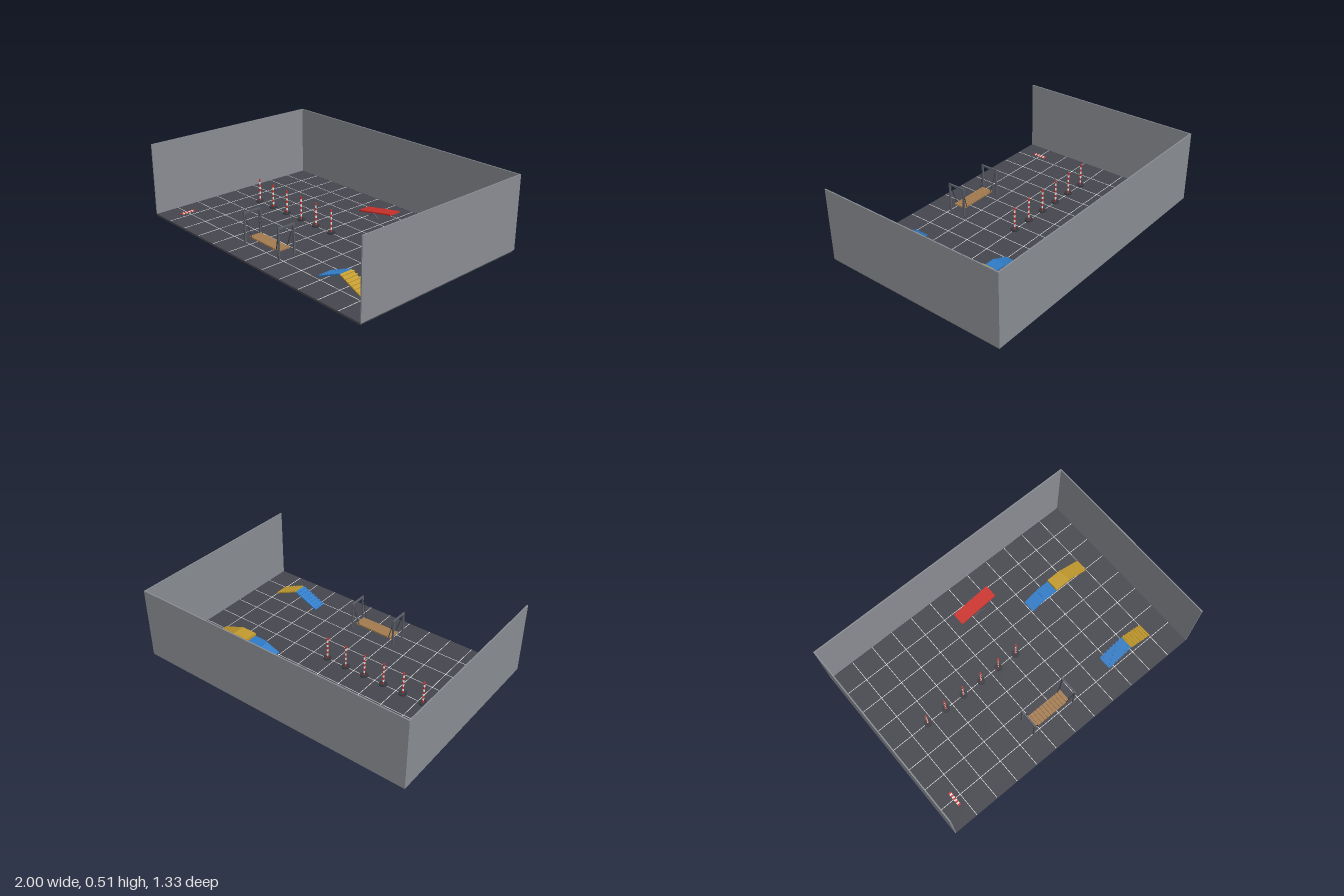
import * as THREE from 'three';

const mat = (name, color) => {
  const m = new THREE.MeshStandardMaterial({ color });
  m.name = name;
  return m;
};

export function createModel() {
  const M = {
    floor: mat('floor charcoal', 0x46474e),
    wall: mat('wall grey', 0x8a8d93),
    line: mat('white', 0xe8e8e8),
    red: mat('red', 0xcf322b),
    blue: mat('blue', 0x2f7cc8),
    yellow: mat('yellow', 0xc39b2e),
    wood: mat('wood brown', 0xa57c50),
    steel: mat('steel grey', 0x5a5e67),
    rubber: mat('dark rubber', 0x38393f),
  };
  const root = new THREE.Group();
  root.name = 'agilityCourse';
  const group = (name) => {
    const g = new THREE.Group();
    g.name = name;
    root.add(g);
    return g;
  };
  const add = (parent, name, geo, material, x, y, z) => {
    const m = new THREE.Mesh(geo, material);
    m.name = name;
    m.position.set(x, y, z);
    parent.add(m);
    return m;
  };
  const box = (parent, name, material, w, h, d, x, y, z) =>
    add(parent, name, new THREE.BoxGeometry(w, h, d), material, x, y, z);
  // Tilted board whose top centreline runs between two points in the xy plane
  const board = (parent, name, material, a, b, thick, width, z) => {
    const dx = b[0] - a[0], dy = b[1] - a[1];
    const m = box(parent, name, material, Math.hypot(dx, dy), thick, width, (a[0] + b[0]) / 2, (a[1] + b[1]) / 2, z);
    m.rotation.z = Math.atan2(dy, dx);
    return m;
  };
  // Round bar between two points
  const bar = (parent, name, material, a, b, r) => {
    const p = new THREE.Vector3(...a), q = new THREE.Vector3(...b);
    const d = q.clone().sub(p);
    const m = add(parent, name, new THREE.CylinderGeometry(r, r, d.length(), 8), material, 0, 0, 0);
    m.position.copy(p).add(q).multiplyScalar(0.5);
    m.quaternion.setFromUnitVectors(new THREE.Vector3(0, 1, 0), d.normalize());
    return m;
  };

  // Room: floor and three walls, open at the front
  const F = 0.013;
  const room = group('room');
  box(room, 'floor', M.floor, 1.984, F, 1.319, 0, F / 2, 0.0045);
  box(room, 'backWall', M.wall, 2, 0.498, 0.009, 0, 0.262, -0.66);
  for (const s of [-1, 1]) box(room, s > 0 ? 'leftWall' : 'rightWall', M.wall, 0.008, 0.498, 1.328, s * 0.996, 0.262, 0);

  // Floor grid
  const grid = group('floorGrid');
  for (let i = -5; i <= 5; i++) box(grid, 'gridLineZ', M.line, 0.0035, 0.0012, 1.316, i * 0.165, F + 0.0006, 0.004);
  for (let i = -3; i <= 3; i++) box(grid, 'gridLineX', M.line, 1.98, 0.001, 0.0035, 0, F + 0.0005, i * 0.165);

  // Weave poles with striped shafts
  const weave = group('weavePoles');
  for (let i = 0; i < 6; i++) {
    const x = -0.695 + i * 0.1488;
    add(weave, 'poleBase', new THREE.CylinderGeometry(0.027, 0.027, 0.009, 20), M.rubber, x, F + 0.0045, 0);
    const n = 9, h = 0.16 / n;
    for (let k = 0; k < n; k++) {
      add(weave, 'poleStripe', new THREE.CylinderGeometry(0.006, 0.006, h, 12),
        k % 2 ? M.line : M.red, x, 0.021 + (k + 0.5) * h, 0);
    }
  }

  // Striped ground bar
  const marker = group('startBar');
  for (let k = 0; k < 9; k++) {
    box(marker, 'barStripe', k % 2 ? M.line : M.red, 0.02, 0.006, 0.0115, -0.87, F + 0.003, 0.449 + k * 0.0115);
  }

  // Hanging plank bridge between two portal frames
  const bridge = group('bridge');
  const bz = 0.436;
  const planks = 11, pitch = 0.29 / planks;
  for (let k = 0; k < planks; k++) {
    box(bridge, 'plank', M.wood, pitch - 0.002, 0.01, 0.088, -0.188 + (k + 0.5) * pitch, 0.053, bz);
  }
  for (const s of [-1, 1]) {
    box(bridge, 'deckRail', M.wood, 0.288, 0.006, 0.006, -0.043, 0.047, bz + s * 0.036);
  }
  for (const s of [-1, 1]) {
    const px = -0.045 + s * 0.168;
    box(bridge, 'crossbar', M.steel, 0.011, 0.011, 0.131, px, 0.212, bz);
    for (const t of [-1, 1]) {
      box(bridge, 'post', M.steel, 0.011, 0.205, 0.011, px, F + 0.1025, bz + t * 0.06);
      bar(bridge, 'rope', M.rubber, [px, 0.207, bz + t * 0.058], [px - s * 0.046, 0.054, bz + t * 0.043], 0.0025);
    }
  }

  // Seesaw
  const seesaw = group('seesaw');
  board(seesaw, 'seesawPlank', M.red, [-0.092, 0.02], [0.2, 0.075], 0.01, 0.092, -0.438);
  bar(seesaw, 'pivot', M.steel, [0.054, 0.042, -0.495], [0.054, 0.042, -0.381], 0.005);
  for (const t of [-1, 1]) {
    for (const s of [-1, 1]) {
      bar(seesaw, 'pivotLeg', M.steel, [0.054, 0.042, -0.438 + t * 0.052], [0.054 + s * 0.045, 0.017, -0.438 + t * 0.052], 0.004);
    }
  }

  // Stepped dog walk
  const walk = group('dogWalk');
  const wz = -0.2;
  board(walk, 'upRamp', M.blue, [0.337, 0.021], [0.45, 0.06], 0.01, 0.088, wz);
  box(walk, 'lowDeck', M.blue, 0.11, 0.011, 0.091, 0.497, 0.062, wz);
  box(walk, 'highDeck', M.yellow, 0.118, 0.02, 0.094, 0.603, 0.079, wz);
  board(walk, 'downRamp', M.yellow, [0.655, 0.085], [0.82, 0.021], 0.011, 0.09, wz);

  // A-frame with cross slats
  const frame = group('aFrame');
  const az = 0.435;
  const sides = [
    ['upSide', M.blue, [0.46, 0.02], [0.643, 0.1]],
    ['downSide', M.yellow, [0.643, 0.1], [0.825, 0.02]],
  ];
  for (const [name, material, a, b] of sides) {
    board(frame, name, material, a, b, 0.008, 0.092, az);
    const ang = Math.atan2(b[1] - a[1], b[0] - a[0]);
    for (let k = 0; k < 7; k++) {
      const t = (k + 0.6) / 7.2;
      const slat = box(frame, 'slat', material, 0.009, 0.005, 0.102,
        a[0] + (b[0] - a[0]) * t - Math.sin(ang) * 0.006,
        a[1] + (b[1] - a[1]) * t + Math.cos(ang) * 0.006, az);
      slat.rotation.z = ang;
    }
  }
  return root;
}
